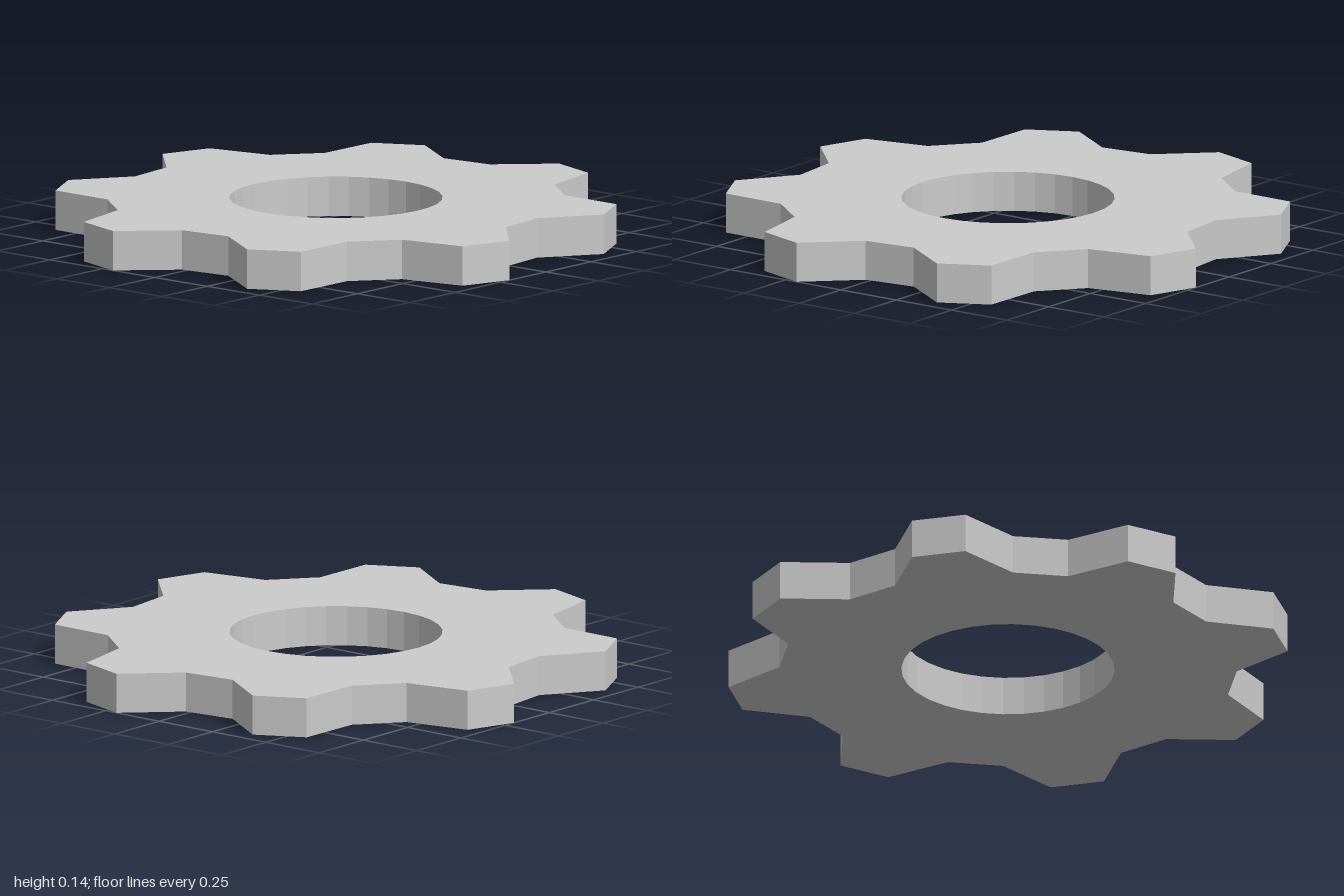
import * as THREE from 'three';

const TEETH = 8, THICKNESS = 0.145, BORE_RADIUS = 0.385;

// One tooth in (x, z): leading root, two tip corners, trailing root
const TOOTH = [[0.825, 0.02], [1, 0.2], [0.94, 0.39], [0.695, 0.44]];

export function createModel() {
  const group = new THREE.Group();
  group.name = 'gear';

  // Outline: the tooth repeated around the centre
  const outline = [];
  for (let i = 0; i < TEETH; i++) {
    const angle = (i / TEETH) * Math.PI * 2;
    for (const [x, z] of TOOTH) {
      outline.push(new THREE.Vector2(x, z).rotateAround(new THREE.Vector2(), angle));
    }
  }
  const shape = new THREE.Shape(outline);

  // Round bore with 32 facets
  const bore = [];
  for (let i = 0; i < 32; i++) {
    const a = (i / 32) * Math.PI * 2;
    bore.push(new THREE.Vector2(Math.cos(a), Math.sin(a)).multiplyScalar(BORE_RADIUS));
  }
  shape.holes.push(new THREE.Path(bore));

  // Flat plate lying on the ground
  const geometry = new THREE.ExtrudeGeometry(shape, { depth: THICKNESS, bevelEnabled: false });
  geometry.rotateX(Math.PI / 2).translate(0, THICKNESS, 0);

  const material = new THREE.MeshStandardMaterial({ color: 0xcccccc, flatShading: true });
  const plate = new THREE.Mesh(geometry, material);
  plate.name = 'toothedPlate';
  group.add(plate);
  return group;
}
